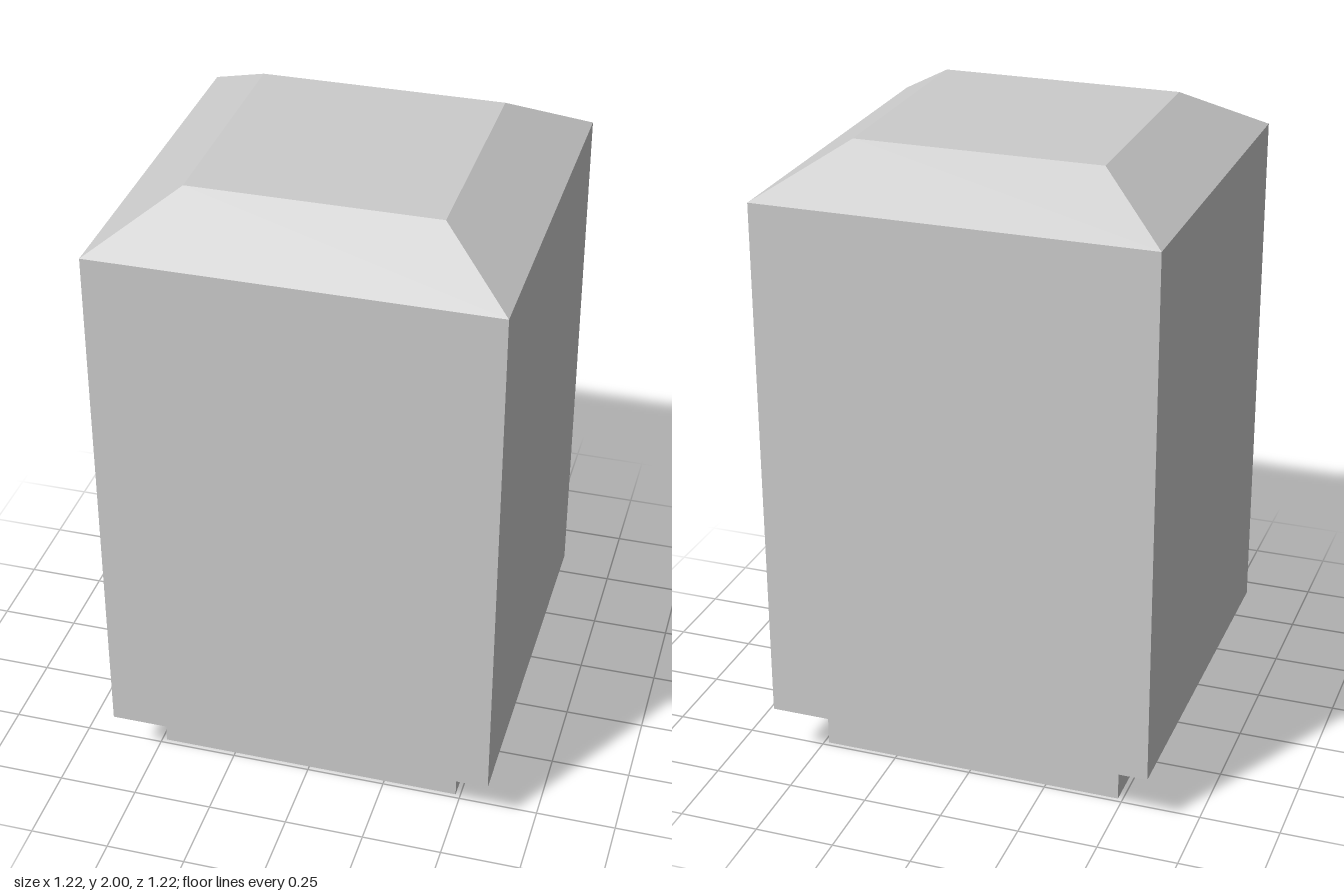
import * as THREE from 'three';

const material = new THREE.MeshStandardMaterial({
  color: 0xcccccc, flatShading: true, side: THREE.DoubleSide,
});

// Square shell swept from a profile of [half width, height] pairs
function squareShell(name, profile) {
  const points = profile.map(([half, y]) => new THREE.Vector2(half * Math.SQRT2, y));
  const mesh = new THREE.Mesh(new THREE.LatheGeometry(points, 4, Math.PI / 4), material);
  mesh.name = name;
  return mesh;
}

export function createModel() {
  const base = 0.485, body = 0.612, top = 0.38;
  const yBody = 0.175, yCap = 1.855, yTop = 2;

  const group = new THREE.Group();
  group.name = 'squareBlock';
  group.add(
    // Narrow foot, open underneath
    squareShell('foot', [[base, 0], [base, yBody]]),
    // Flat ledge joining the foot to the hollow body
    squareShell('ledge', [[base, yBody], [body, yBody]]),
    squareShell('body', [[body, yBody], [body, yCap]]),
    // Sloped shoulders and flat top
    squareShell('shoulders', [[body, yCap], [top, yTop]]),
    squareShell('topPanel', [[top, yTop], [0, yTop]]),
  );
  return group;
}
